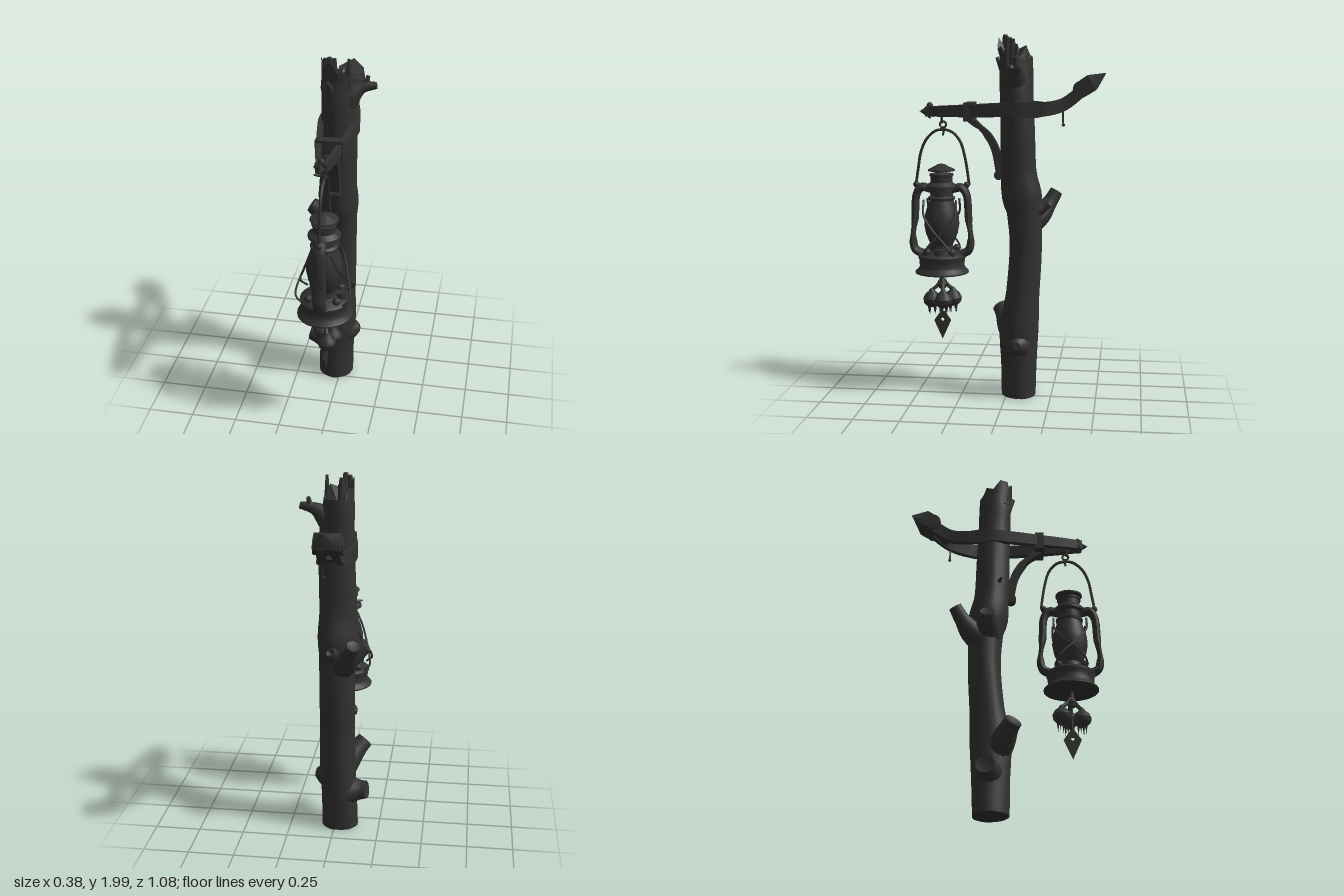
import * as THREE from 'three';
import { toCreasedNormals } from 'three/addons/utils/BufferGeometryUtils.js';

const iron = new THREE.MeshStandardMaterial({ color: 0x323232 });
iron.name = 'charcoal';

// Sweep a round or (sides = 4) rectangular section along points [x, y, z, ra, rb].
function sweep(pts, { sides = 10, segs = 16, ref = [1, 0, 0], sink = 0, tweak } = {}) {
  const path = new THREE.CatmullRomCurve3(pts.map(p => new THREE.Vector3(p[0], p[1], p[2])));
  const size = new THREE.CatmullRomCurve3(pts.map(p => new THREE.Vector3(p[3], p[4] ?? p[3], 0)));
  const pos = [], idx = [], R = new THREE.Vector3(...ref);
  const box = sides === 4, k = box ? Math.SQRT2 : 1;
  for (let i = 0; i <= segs; i++) {
    const t = i / segs, c = path.getPoint(t), T = path.getTangent(t), s = size.getPoint(t);
    const N = R.clone().addScaledVector(T, -R.dot(T)).normalize();
    const B = new THREE.Vector3().crossVectors(T, N);
    for (let j = 0; j < sides; j++) {
      const a = (j + (box ? 0.5 : 0)) / sides * Math.PI * 2;
      const v = c.clone().addScaledVector(N, Math.cos(a) * s.x * k).addScaledVector(B, Math.sin(a) * s.y * k);
      if (tweak) tweak(v, t, a, c);
      pos.push(v.x, v.y, v.z);
    }
  }
  const row = (i, j) => i * sides + j % sides, n = (segs + 1) * sides;
  for (let i = 0; i < segs; i++) for (let j = 0; j < sides; j++) {
    const a = row(i, j), b = row(i, j + 1), c = row(i + 1, j), d = row(i + 1, j + 1);
    idx.push(a, b, c, b, d, c);
  }
  const s = path.getPoint(0), e = path.getPoint(1).addScaledVector(path.getTangent(1), -sink);
  pos.push(s.x, s.y, s.z, e.x, e.y, e.z);
  for (let j = 0; j < sides; j++) idx.push(n, row(0, j + 1), row(0, j), n + 1, row(segs, j), row(segs, j + 1));
  const g = new THREE.BufferGeometry();
  g.setAttribute('position', new THREE.Float32BufferAttribute(pos, 3));
  g.setIndex(idx);
  return toCreasedNormals(g, 0.7);
}

function add(parent, name, geo, x = 0, y = 0, z = 0) {
  const m = new THREE.Mesh(geo, iron);
  m.name = name;
  m.position.set(x, y, z);
  parent.add(m);
  return m;
}
const lathe = (p, n = 28) =>
  toCreasedNormals(new THREE.LatheGeometry(p.map(q => new THREE.Vector2(q[0], q[1])), n), 0.6);
const wire = (pts, r, segs = 24) =>
  new THREE.TubeGeometry(new THREE.CatmullRomCurve3(pts.map(p => new THREE.Vector3(...p))), segs, r, 6);

function buildPost() {
  const g = new THREE.Group();
  g.name = 'post';
  // Crooked trunk with a splintered, hollow top
  add(g, 'trunk', sweep([
    [-0.03, 0.01, -0.07, 0.1, 0.095], [-0.025, 0.2, -0.07, 0.098, 0.1], [-0.015, 0.38, -0.068, 0.1, 0.108],
    [-0.015, 0.6, -0.088, 0.095, 0.092], [-0.015, 0.85, -0.105, 0.097, 0.089], [-0.015, 1.05, -0.098, 0.1, 0.095],
    [-0.015, 1.25, -0.07, 0.1, 0.095], [-0.01, 1.5, -0.062, 0.098, 0.093], [-0.01, 1.7, -0.055, 0.092, 0.09],
    [-0.018, 1.82, -0.052, 0.085, 0.09], [-0.018, 1.9, -0.05, 0.078, 0.088],
  ], {
    sides: 24, segs: 44, sink: 0.06, tweak(v, t, a, c) {
      const f = 1 + 0.025 * Math.sin(3 * a + t * 9) + 0.015 * Math.sin(7 * a - t * 14);
      v.x = c.x + (v.x - c.x) * f;
      v.z = c.z + (v.z - c.z) * f;
      if (t === 1) {
        v.y += 0.02 + 0.055 * Math.cos(a - 3.9) + 0.022 * Math.sin(a * 6);
        v.z += 0.012;
      }
    },
  }));
  for (const [x, z, y, r] of [[0.05, -0.01, 1.99, 0.018], [0.04, -0.06, 1.95, 0.02],
    [-0.07, 0.0, 1.99, 0.025], [-0.045, 0.01, 2.0, 0.03], [-0.03, -0.03, 1.98, 0.03]])
    add(g, 'splinter', new THREE.CylinderGeometry(r * 0.45, r, 0.16, 5), x, y - 0.08, z);

  // Sawn stubs and broken branches
  const limb = (name, pts, sink = 0.012) => add(g, name, sweep(pts, { sides: 12, segs: 12, sink, ref: [0.2, 0.3, 0.9] }));
  limb('frontStub', [[-0.03, 0.33, -0.05, 0.08], [-0.08, 0.4, -0.005, 0.068], [-0.13, 0.455, 0.03, 0.05], [-0.155, 0.48, 0.05, 0.047]]);
  limb('lowStub', [[-0.05, 0.22, -0.08, 0.09], [-0.11, 0.23, -0.085, 0.07], [-0.15, 0.235, -0.09, 0.055], [-0.18, 0.24, -0.095, 0.05]]);
  limb('backBranch', [[-0.03, 0.98, -0.11, 0.08], [-0.07, 1.03, -0.18, 0.065], [-0.1, 1.09, -0.23, 0.042], [-0.12, 1.15, -0.265, 0.036]]);
  limb('sideStub', [[-0.05, 1.02, -0.09, 0.08], [-0.1, 1.05, -0.09, 0.065], [-0.14, 1.08, -0.09, 0.05], [-0.17, 1.1, -0.09, 0.04]]);
  limb('backStub', [[0, 1.06, -0.16, 0.05], [0, 1.08, -0.2, 0.035], [0.005, 1.1, -0.235, 0.022]]);
  limb('knot', [[0.02, 0.31, -0.07, 0.09], [0.075, 0.315, -0.07, 0.06], [0.11, 0.32, -0.07, 0.022]], 0);
  limb('topBranch', [[0.01, 1.73, -0.05, 0.07], [0.06, 1.79, -0.055, 0.055], [0.11, 1.825, -0.06, 0.032], [0.185, 1.84, -0.06, 0.018]]);
  limb('topTwig', [[0.1, 1.82, -0.06, 0.025], [0.13, 1.85, -0.065, 0.016], [0.14, 1.885, -0.07, 0.01]], 0);
  limb('frontTwig', [[-0.03, 1.8, 0.0, 0.04], [-0.04, 1.84, 0.03, 0.022], [-0.045, 1.88, 0.055, 0.01]], 0);
  limb('thorn', [[-0.09, 1.32, -0.03, 0.014], [-0.115, 1.32, -0.02, 0.009], [-0.14, 1.325, -0.01, 0.004]], 0);
  return g;
}

function buildArm() {
  const g = new THREE.Group();
  g.name = 'arm';
  g.position.x = -0.01;
  // Twin beams bowing around the trunk
  for (const s of [-1, 1])
    add(g, 'beam', sweep([
      [s * 0.012, 1.59, 0.44, 0.012, 0.026], [s * 0.035, 1.592, 0.33, 0.013, 0.029], [s * 0.056, 1.595, 0.2, 0.014, 0.032],
      [s * 0.078, 1.6, 0.06, 0.015, 0.034], [s * 0.093, 1.605, -0.07, 0.015, 0.035], [s * 0.075, 1.605, -0.2, 0.015, 0.035],
      [s * 0.05, 1.628, -0.3, 0.016, 0.034], [s * 0.035, 1.675, -0.37, 0.022, 0.032], [s * 0.03, 1.72, -0.42, 0.025, 0.03],
    ], { sides: 4, segs: 32 }));
  add(g, 'sleeve', new THREE.BoxGeometry(0.145, 0.1, 0.05), 0, 1.59, 0.2);
  add(g, 'tailBridge', new THREE.BoxGeometry(0.08, 0.05, 0.05), 0, 1.645, -0.335).rotation.x = 0.55;
  // Pointed nose with its rivet
  const nose = add(g, 'nose', new THREE.ConeGeometry(0.042, 0.06, 4).toNonIndexed(), 0, 1.59, 0.447);
  nose.rotation.x = Math.PI / 2;
  add(g, 'noseBlock', new THREE.BoxGeometry(0.06, 0.055, 0.04), 0, 1.59, 0.415);
  add(g, 'noseRivet', new THREE.SphereGeometry(0.018, 10, 6), 0, 1.622, 0.42);
  // Arrow-shaped tail
  add(g, 'tailCollar', new THREE.CylinderGeometry(0.045, 0.045, 0.15, 14), 0, 1.715, -0.405).rotation.z = Math.PI / 2;
  const tip = new THREE.Group();
  tip.name = 'tailTip';
  tip.position.set(0, 1.73, -0.43);
  tip.rotation.x = -0.98;
  add(tip, 'tailPoint', new THREE.ConeGeometry(Math.SQRT2, 0.09, 4).rotateY(Math.PI / 4).scale(0.068, 1, 0.045), 0, 0.08, 0);
  add(tip, 'tailBase', new THREE.BoxGeometry(0.136, 0.05, 0.09), 0, 0.012, 0);
  g.add(tip);
  add(g, 'tailDrip', wire([[0.04, 1.63, -0.31], [0.042, 1.57, -0.308], [0.04, 1.52, -0.31]], 0.005, 8));
  add(g, 'dripBead', new THREE.SphereGeometry(0.009, 8, 6), 0.04, 1.525, -0.31);
  // Curved brace under the arm
  add(g, 'brace', sweep([
    [0, 1.57, 0.22, 0.024, 0.018], [0, 1.535, 0.18, 0.024, 0.018], [0, 1.48, 0.115, 0.024, 0.018],
    [0, 1.4, 0.065, 0.024, 0.02], [0, 1.3, 0.04, 0.024, 0.022], [0, 1.25, 0.035, 0.024, 0.02],
  ], { sides: 4, segs: 16 }));
  add(g, 'braceFoot', new THREE.CylinderGeometry(0.026, 0.026, 0.055, 12), 0, 1.248, 0.04).rotation.z = Math.PI / 2;
  add(g, 'hookStem', new THREE.CylinderGeometry(0.007, 0.007, 0.06, 8), 0, 1.555, 0.355);
  add(g, 'hookRing', new THREE.TorusGeometry(0.017, 0.006, 8, 16), 0, 1.52, 0.348).rotation.y = Math.PI / 2;
  add(g, 'hookTail', wire([[0, 1.505, 0.34], [0, 1.48, 0.345], [0, 1.46, 0.35]], 0.006, 8));
  return g;
}

function buildLantern() {
  const g = new THREE.Group();
  g.name = 'lantern';
  g.position.set(-0.01, 0, 0.36);
  add(g, 'tank', lathe([[0, 0.7], [0.148, 0.7], [0.148, 0.708], [0.13, 0.725], [0.124, 0.74], [0.127, 0.775], [0.132, 0.785],
    [0.132, 0.797], [0.12, 0.808], [0.08, 0.818], [0.065, 0.825], [0.06, 0.86], [0, 0.865]]));
  add(g, 'globe', lathe([[0.058, 0.85], [0.07, 0.875], [0.088, 0.92], [0.097, 0.97], [0.095, 1.01], [0.082, 1.06], [0.065, 1.105], [0.06, 1.125]]));
  add(g, 'chimney', lathe([[0.03, 1.105], [0.072, 1.105], [0.075, 1.12], [0.062, 1.13], [0.062, 1.165], [0.085, 1.17], [0.085, 1.185],
    [0.066, 1.2], [0.06, 1.205], [0.06, 1.235], [0.066, 1.24], [0.066, 1.25], [0.035, 1.255], [0.03, 1.27]]));
  add(g, 'hood', lathe([[0, 1.262], [0.074, 1.266], [0.074, 1.274], [0.04, 1.29], [0.02, 1.302], [0, 1.306]]));
  for (const s of [-1, 1]) {
    // Air tubes fore and aft
    add(g, 'airTube', sweep([[0, 1.165, s * 0.06, 0.03, 0.022], [0, 1.175, s * 0.11, 0.032, 0.024], [0, 1.14, s * 0.138, 0.033, 0.022],
      [0, 1.0, s * 0.15, 0.034, 0.021], [0, 0.88, s * 0.162, 0.034, 0.021], [0, 0.825, s * 0.148, 0.034, 0.023], [0, 0.8, s * 0.095, 0.034, 0.024]], { sides: 12, segs: 28 }));
    add(g, 'bailEar', new THREE.SphereGeometry(0.018, 10, 8), 0, 1.19, s * 0.14);
    // Crossed guard wires on each flank
    for (const d of [-1, 1])
      add(g, 'guardWire', wire([[s * 0.05, 1.11, d * 0.09], [s * 0.085, 1.03, d * 0.085], [s * 0.115, 0.95, d * 0.03],
        [s * 0.14, 0.88, -d * 0.04], [s * 0.142, 0.84, -d * 0.07], [s * 0.11, 0.81, -d * 0.085]], 0.006));
    for (const d of [-1, 1]) add(g, 'burnerKnob', new THREE.SphereGeometry(0.022, 10, 8), s * 0.075, 0.825, d * 0.07);
  }
  add(g, 'fillerCap', new THREE.CylinderGeometry(0.028, 0.028, 0.035, 12), 0.09, 0.825, 0);
  add(g, 'bail', wire([[0, 1.19, 0.142], [0, 1.28, 0.128], [0, 1.37, 0.112], [0, 1.44, 0.08], [0, 1.485, 0.03], [0, 1.492, -0.01],
    [0, 1.48, -0.06], [0, 1.43, -0.105], [0, 1.34, -0.132], [0, 1.19, -0.155]], 0.008, 40));
  return g;
}

function buildCharm() {
  const g = new THREE.Group();
  g.name = 'hangingCharm';
  g.position.set(-0.01, 0, 0.36);
  add(g, 'cord', new THREE.CylinderGeometry(0.006, 0.006, 0.24, 6), 0, 0.59, 0);
  add(g, 'cordKnot', lathe([[0, 0.7], [0.014, 0.69], [0.012, 0.66], [0.026, 0.635], [0.02, 0.61], [0, 0.6]].reverse(), 10));
  // Bulbs with rootlets
  for (const [x, z] of [[0.02, 0.055], [-0.025, -0.055], [0.04, -0.012]]) {
    const b = new THREE.Group();
    b.name = 'bulb';
    b.position.set(x, 0.55, z);
    add(b, 'bulbBody', lathe([[0, -0.045], [0.025, -0.042], [0.046, -0.02], [0.05, 0.005], [0.038, 0.028], [0.018, 0.045], [0.01, 0.06]], 14));
    add(b, 'bulbStem', wire([[0, 0.05, 0], [-x * 0.5, 0.075, -z * 0.5], [-x * 0.9, 0.11, -z * 0.9]], 0.011, 8));
    for (let i = 0; i < 4; i++) {
      const a = i * Math.PI / 2 + 0.4;
      add(b, 'rootlet', new THREE.ConeGeometry(0.008, 0.055, 5), Math.cos(a) * 0.022, -0.06, Math.sin(a) * 0.022).rotation.x = Math.PI;
    }
    g.add(b);
  }
  // Pierced diamond pendant
  const d = new THREE.Shape([[0, 0.32], [0.047, 0.425], [0.012, 0.475], [-0.012, 0.475], [-0.047, 0.425]].map(p => new THREE.Vector2(...p)));
  d.holes.push(new THREE.Path().absarc(0, 0.43, 0.01, 0, Math.PI * 2, true));
  add(g, 'pendant', new THREE.ExtrudeGeometry(d, { depth: 0.014, bevelEnabled: false }).translate(0, 0, -0.007).rotateY(Math.PI / 2));
  return g;
}

export function createModel() {
  const model = new THREE.Group();
  model.name = 'lanternPost';
  model.add(buildPost(), buildArm(), buildLantern(), buildCharm());
  return model;
}
